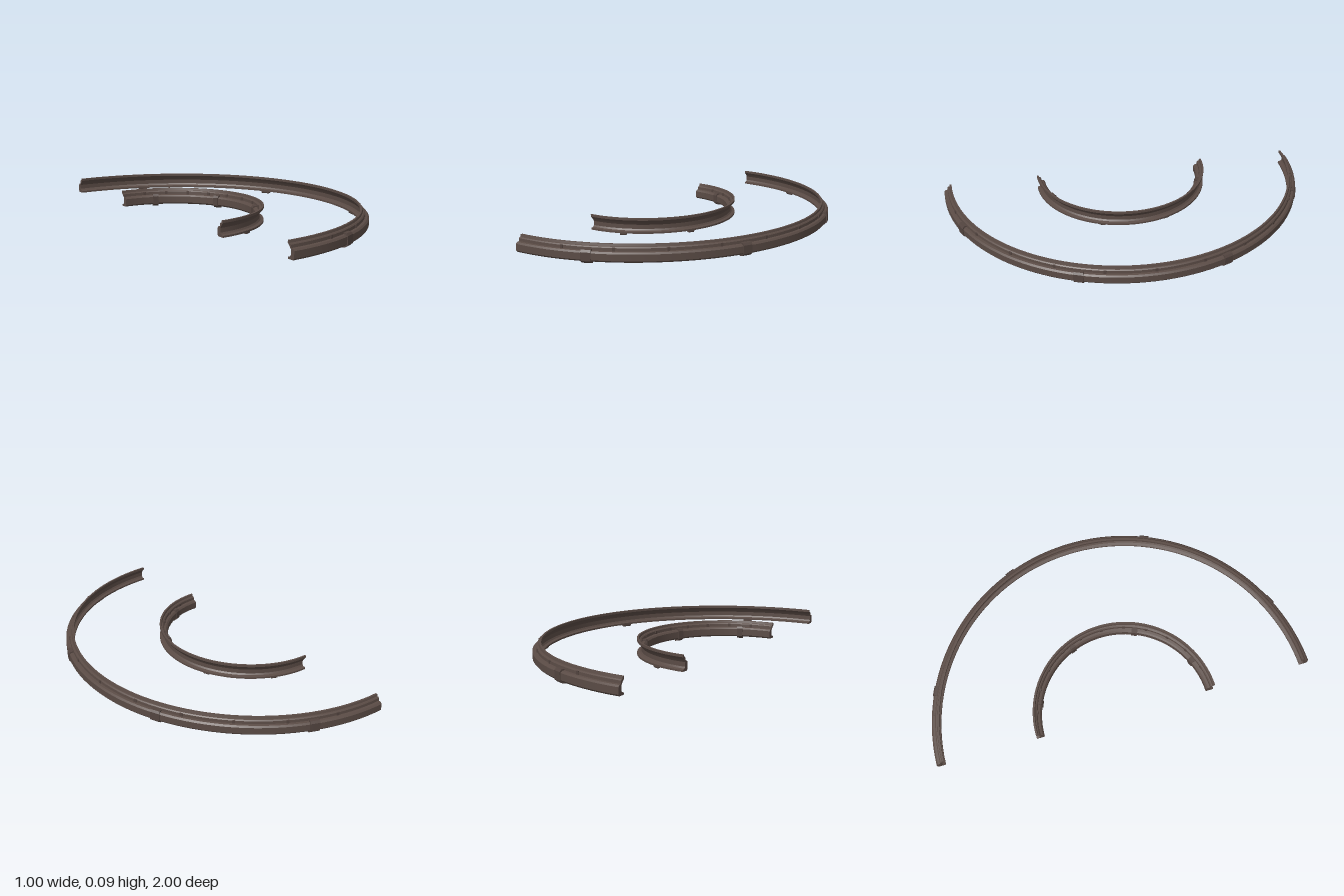
import * as THREE from 'three';
import { toCreasedNormals, mergeGeometries } from 'three/addons/utils/BufferGeometryUtils.js';

// Cross-sections as [radius, height], anticlockwise, for the outer barrier
const RAIL = [
  [0.957, 0.013], [0.993, 0.013], [1.0, 0.021], [1.0, 0.054], [0.992, 0.062],
  [0.98, 0.064], [0.979, 0.078], [0.974, 0.083], [0.969, 0.084], [0.966, 0.095],
  [0.956, 0.095], [0.956, 0.083], [0.964, 0.076], [0.973, 0.064],
  [0.978, 0.056], [0.978, 0.034], [0.972, 0.026], [0.957, 0.022],
];
const CLAMP = [
  [0.966, 0.004], [0.97, 0], [0.99, 0.004], [1.004, 0.016],
  [1.004, 0.058], [0.996, 0.069], [0.978, 0.07], [0.978, 0.062],
  [0.99, 0.058], [0.996, 0.05], [0.996, 0.022], [0.99, 0.014], [0.966, 0.014],
];
const MIRROR_SUM = 1.435; // maps outer radii to the inner barrier, facing the other way

const mirrored = (profile) => profile.map(([r, y]) => [MIRROR_SUM - r, y]).reverse();

// Sweep a closed section round the centre and close both ends
function sweep(profile, start, length, segments) {
  const pts = profile.map(([r, y]) => new THREE.Vector2(r, y));
  const body = new THREE.LatheGeometry([...pts, pts[0].clone()], segments, start, length);
  const parts = [toCreasedNormals(body, 0.4)];
  for (const [angle, flip] of [[start, false], [start + length, true]]) {
    const cap = new THREE.ShapeGeometry(new THREE.Shape(pts)).toNonIndexed();
    if (flip) {
      const p = cap.attributes.position;
      for (let i = 0; i < p.count; i += 3) {
        const x = p.getX(i), y = p.getY(i);
        p.setXY(i, p.getX(i + 1), p.getY(i + 1));
        p.setXY(i + 1, x, y);
      }
      cap.computeVertexNormals();
    }
    cap.rotateY(angle - Math.PI / 2);
    parts.push(cap);
  }
  return mergeGeometries(parts);
}

export function createModel() {
  const model = new THREE.Group();
  model.name = 'curvedBarriers';
  const railMat = new THREE.MeshStandardMaterial({ color: 0x5a4b45, side: THREE.DoubleSide });
  railMat.name = 'warm brown metal';
  const clampMat = new THREE.MeshStandardMaterial({ color: 0x52443f, side: THREE.DoubleSide });
  clampMat.name = 'dark brown metal';

  function barrier(name, rail, clamp, clampWidth, clampRadius, pegRadius) {
    const group = new THREE.Group();
    group.name = name;
    const add = (geometry, material, partName) => {
      const mesh = new THREE.Mesh(geometry, material);
      mesh.name = partName;
      group.add(mesh);
      return mesh;
    };

    // Half-circle channel rail
    add(sweep(rail, 0, Math.PI, 64), railMat, 'rail');

    // Four clamps wrapping the back of the rail
    const span = clampWidth / clampRadius;
    for (let i = 0; i < 4; i++) {
      const angle = (i + 0.5) * Math.PI / 4;
      add(sweep(clamp, angle - span / 2, span, 3), clampMat, 'clamp');
    }

    // Small pegs under the top lip
    for (let i = 1; i < 12; i++) {
      const angle = i * Math.PI / 12;
      const peg = add(new THREE.BoxGeometry(0.014, 0.016, 0.008), clampMat, 'peg');
      peg.position.set(Math.sin(angle) * pegRadius, 0.072, Math.cos(angle) * pegRadius);
      peg.rotation.y = angle;
    }

    group.position.x = -0.5;
    model.add(group);
  }

  barrier('outerBarrier', RAIL, CLAMP, 0.05, 1, 0.979);
  barrier('innerBarrier', mirrored(RAIL), mirrored(CLAMP), 0.03, 0.44, MIRROR_SUM - 0.979);
  return model;
}
